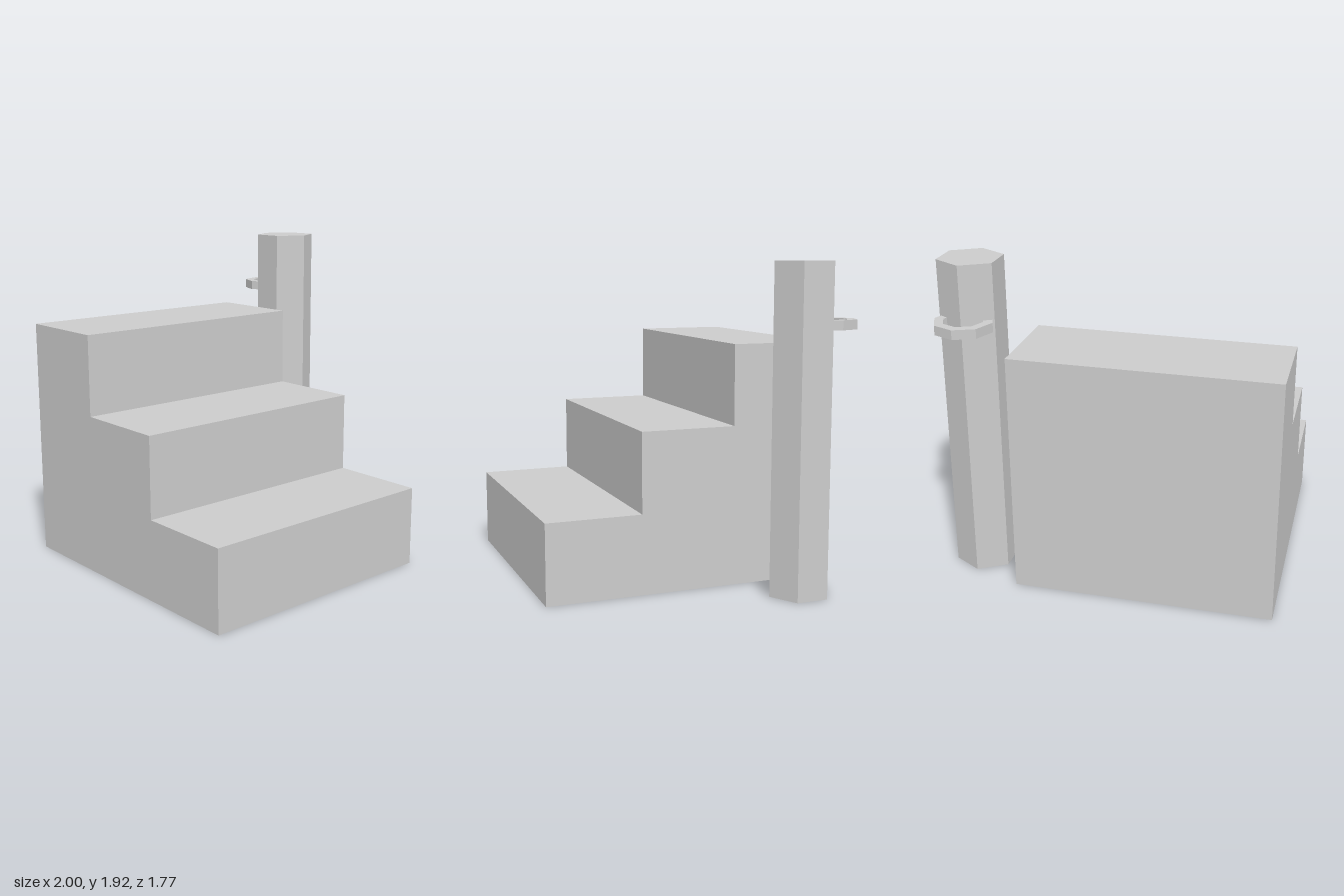
import * as THREE from 'three';

export function createModel() {
  const model = new THREE.Group();
  const grey = new THREE.MeshStandardMaterial({ color: 0xcccccc });
  grey.name = 'light grey';

  const add = (name, geometry, x, y, z) => {
    const mesh = new THREE.Mesh(geometry, grey);
    mesh.name = name;
    mesh.position.set(x, y, z);
    model.add(mesh);
    return mesh;
  };

  // Solid staircase: stepped side profile extruded across the width
  const front = 0.885, tread = 0.578, rise = 0.482, steps = 3;
  const profile = new THREE.Shape();
  profile.moveTo(-front, 0); // profile x is -z
  for (let i = 0; i < steps; i++) {
    profile.lineTo(-front + i * tread, (i + 1) * rise);
    profile.lineTo(-front + (i + 1) * tread, (i + 1) * rise);
  }
  profile.lineTo(-front + steps * tread, 0);
  const stairs = new THREE.ExtrudeGeometry(profile, { depth: 1.535, bevelEnabled: false });
  stairs.rotateY(Math.PI / 2);
  add('stairs', stairs, -1, 0, 0);

  // Six-sided post with corners facing front and back
  const postHeight = 1.925;
  const post = new THREE.CylinderGeometry(0.191, 0.191, postHeight, 6).toNonIndexed();
  post.computeVertexNormals();
  add('post', post, 0.823, postHeight / 2, -0.56);

  // Flat eight-sided ring hooked into the back of the post
  const octagon = (path, radius) => {
    const points = [];
    for (let i = 0; i < 8; i++) {
      const a = (i * Math.PI) / 4;
      points.push(new THREE.Vector2(radius * Math.cos(a), radius * Math.sin(a)));
    }
    return path.setFromPoints(points);
  };
  const ringShape = octagon(new THREE.Shape(), 0.174);
  ringShape.holes.push(octagon(new THREE.Path(), 0.118));
  const ring = new THREE.ExtrudeGeometry(ringShape, { depth: 0.056, bevelEnabled: false });
  ring.rotateX(-Math.PI / 2);
  add('ring', ring, 0.823, 1.543, -0.711);

  return model;
}
